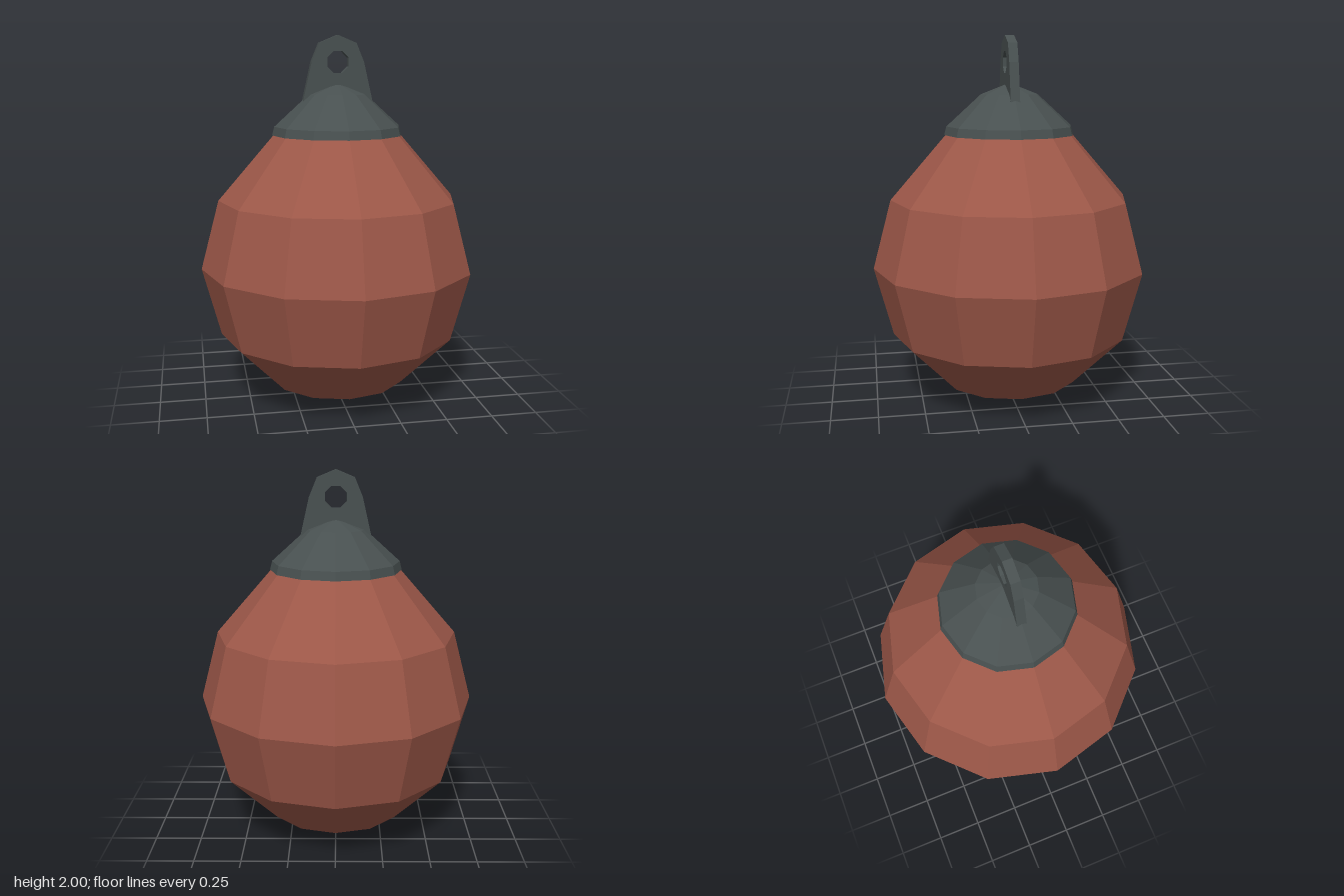
import * as THREE from 'three';

export function createModel() {
  const group = new THREE.Group();

  const red = new THREE.MeshStandardMaterial({ color: 0x9c5748, flatShading: true });
  red.name = 'rust red';
  const grey = new THREE.MeshStandardMaterial({ color: 0x485050, flatShading: true });
  grey.name = 'dark grey';

  const add = (name, geometry, material) => {
    const mesh = new THREE.Mesh(geometry, material);
    mesh.name = name;
    group.add(mesh);
  };
  const lathe = (profile) =>
    new THREE.LatheGeometry(profile.map(([r, y]) => new THREE.Vector2(r, y)), 12);

  // Faceted float: a sphere below, drawn in to a neck above
  add('floatBody', lathe([
    [0, 0], [0.375, 0.1], [0.65, 0.377], [0.75, 0.753], [0.65, 1.128], [0.345, 1.478],
  ]), red);

  // Conical cap with a narrow rim, overhanging the neck slightly
  add('cap', lathe([
    [0, 1.474], [0.355, 1.474], [0.343, 1.52], [0.155, 1.69], [0, 1.75],
  ]), grey);

  // Lifting eye: flared plate with a half-octagon top and an octagonal hole
  const eyeY = 1.86;
  const arc = (radius, count, step, start) => Array.from({ length: count }, (_, i) => {
    const a = start + i * step;
    return new THREE.Vector2(radius * Math.cos(a), eyeY + radius * Math.sin(a));
  });
  const plate = new THREE.Shape([
    new THREE.Vector2(-0.19, 1.65),
    new THREE.Vector2(0.19, 1.65),
    ...arc(0.142, 5, Math.PI / 4, 0),
  ]);
  plate.holes.push(new THREE.Path(arc(0.062, 8, -Math.PI / 4, Math.PI / 8)));
  const eye = new THREE.ExtrudeGeometry(plate, { depth: 0.05, bevelEnabled: false });
  eye.translate(0, 0, -0.025);
  add('liftingEye', eye, grey);

  return group;
}
